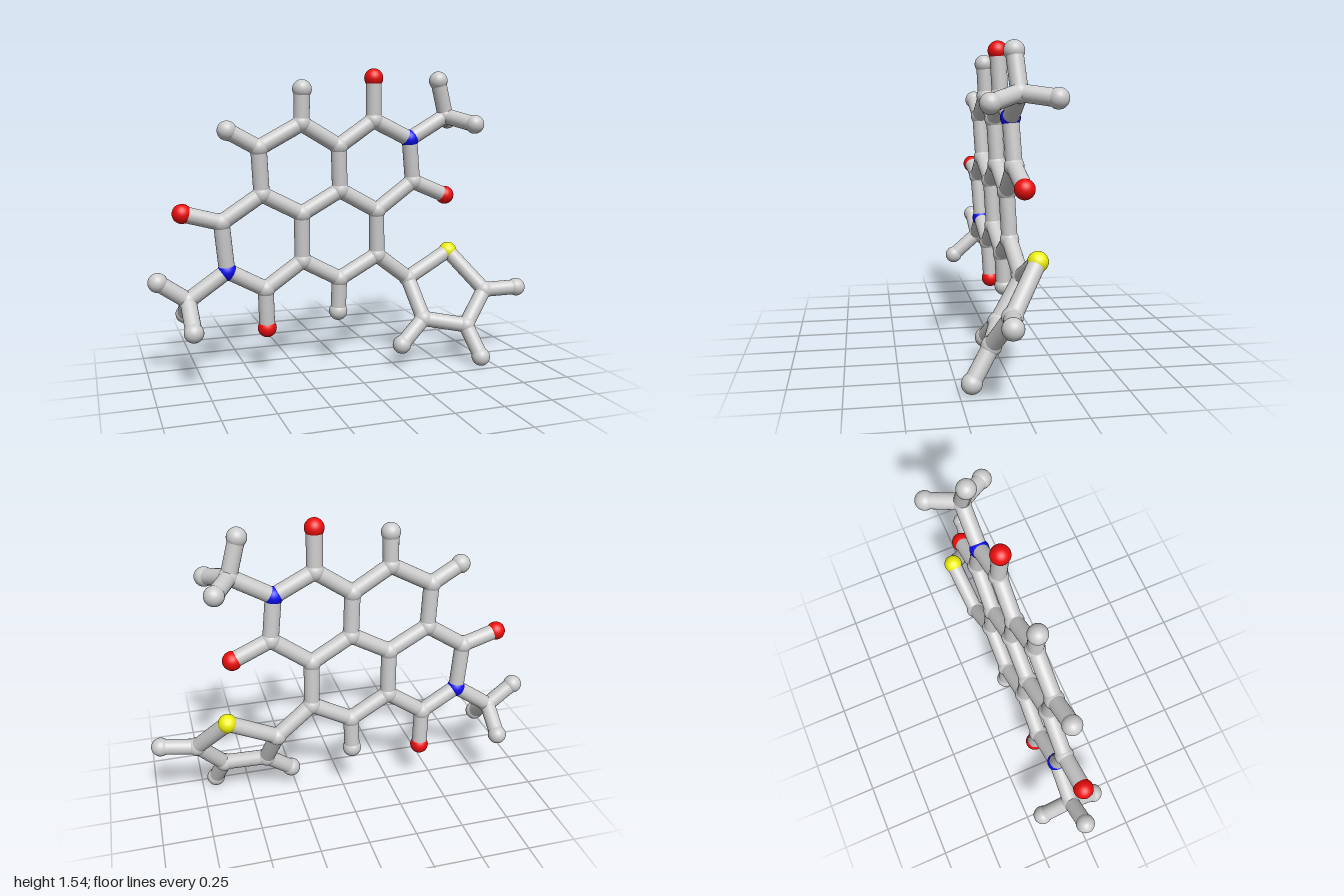
import * as THREE from 'three';

const ATOM_RADIUS = 0.048, BOND_RADIUS = 0.04;
const UP = new THREE.Vector3(0, 1, 0);

// The fused rings lie on one slightly tilted plane, the five-sided ring on another.
const sheet = (x, y) => [x, y, -0.089 - 0.034 * x + 0.057 * y];
const side = (x, y) => [x, y, 0.089 + 0.196 * x - 0.562 * y];

const atoms = {
  // fused carbon rings
  c1: sheet(-0.455, 1.155), c2: sheet(-0.238, 1.272), c3: sheet(-0.04, 1.157),
  c4: sheet(-0.03, 0.932), c5: sheet(-0.232, 0.82), c6: sheet(-0.44, 0.927),
  c7: sheet(0.147, 1.285), c8: sheet(0.377, 0.965), c9: sheet(0.176, 0.818),
  c10: sheet(0.184, 0.58), c11: sheet(-0.024, 0.467), c12: sheet(-0.227, 0.577),
  c13: sheet(-0.42, 0.443), c14: sheet(-0.642, 0.795),
  n1: sheet(0.352, 1.187), n2: sheet(-0.616, 0.55),
  o7: sheet(0.142, 1.496), o8: sheet(0.57, 0.884),
  o13: sheet(-0.412, 0.237), o14: sheet(-0.831, 0.847),
  h1: sheet(-0.61, 1.24), h2: sheet(-0.236, 1.438), h11: sheet(-0.028, 0.291),
  // upper three-pronged end
  c20: [0.556, 1.305, -0.035], h20: [0.505, 1.486, -0.02],
  h21: [0.655, 1.263, 0.108], h22: [0.643, 1.283, -0.188],
  // lower three-pronged end
  c30: [-0.81, 0.415, -0.04], h30: [-0.953, 0.516, -0.03],
  h31: [-0.805, 0.29, 0.104], h32: [-0.807, 0.312, -0.192],
  // five-sided ring
  c15: side(0.372, 0.438), s1: side(0.62, 0.568), c16: side(0.772, 0.368),
  c17: side(0.633, 0.2), c18: side(0.414, 0.238),
  h16: side(0.952, 0.377), h17: side(0.676, 0.049), h18: side(0.275, 0.12),
};

// Each chain joins its neighbouring atoms with bonds.
const chains = [
  'c1 c2 c3 c4 c5 c6 c1', 'c3 c7 n1 c8 c9 c4', 'c9 c10 c11 c12 c5',
  'c12 c13 n2 c14 c6', 'c7 o7', 'c8 o8', 'c13 o13', 'c14 o14',
  'c1 h1', 'c2 h2', 'c11 h11',
  'n1 c20 h20', 'c20 h21', 'c20 h22', 'n2 c30 h30', 'c30 h31', 'c30 h32',
  'c10 c15 s1 c16 c17 c18 c15', 'c16 h16', 'c17 h17', 'c18 h18',
];

const grey = new THREE.MeshStandardMaterial({ color: 0xcccccc });
const kinds = {
  c: ['carbonAtom', grey],
  h: ['hydrogenAtom', grey],
  n: ['nitrogenAtom', new THREE.MeshStandardMaterial({ color: 0x0d0dee })],
  o: ['oxygenAtom', new THREE.MeshStandardMaterial({ color: 0xee0d0d })],
  s: ['sulfurAtom', new THREE.MeshStandardMaterial({ color: 0xeeee0d })],
};

export function createModel() {
  const model = new THREE.Group();
  model.name = 'molecule';
  const atomGroup = new THREE.Group(), bondGroup = new THREE.Group();
  atomGroup.name = 'atoms';
  bondGroup.name = 'bonds';
  model.add(atomGroup, bondGroup);

  // Atoms
  const ball = new THREE.SphereGeometry(ATOM_RADIUS, 32, 20);
  for (const [id, position] of Object.entries(atoms)) {
    const [name, material] = kinds[id[0]];
    const atom = new THREE.Mesh(ball, material);
    atom.name = name;
    atom.position.set(...position);
    atomGroup.add(atom);
  }

  // Bonds, each a rod starting and ending just inside the atoms
  const rod = new THREE.CylinderGeometry(BOND_RADIUS, BOND_RADIUS, 1, 28, 1, true);
  const inset = 0.02;
  for (const chain of chains) {
    const ids = chain.split(' ');
    for (let i = 1; i < ids.length; i++) {
      const a = new THREE.Vector3(...atoms[ids[i - 1]]);
      const b = new THREE.Vector3(...atoms[ids[i]]);
      const bond = new THREE.Mesh(rod, grey);
      bond.name = 'bond';
      bond.position.copy(a).lerp(b, 0.5);
      bond.scale.y = a.distanceTo(b) - 2 * inset;
      bond.quaternion.setFromUnitVectors(UP, b.sub(a).normalize());
      bondGroup.add(bond);
    }
  }
  return model;
}
